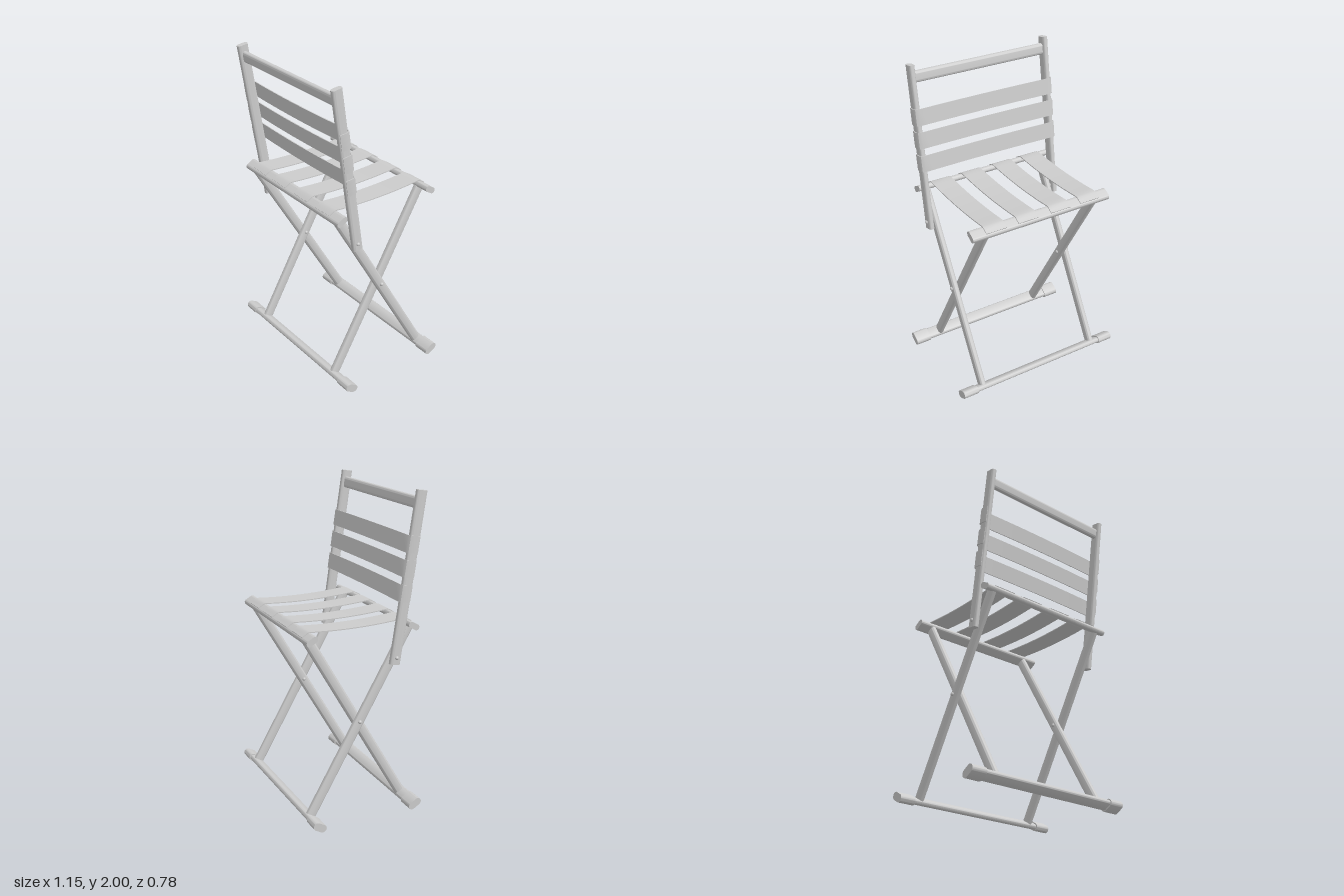
import * as THREE from 'three';
import { toCreasedNormals } from 'three/addons/utils/BufferGeometryUtils.js';

const material = new THREE.MeshStandardMaterial({ color: 0xcccccc });
const V = (x, y, z) => new THREE.Vector3(x, y, z);

// Extrude a shape, centred on its depth, with its axes u and v turned into space
function extrudeAt(name, shape, depth, centre, u, v) {
  let geo = new THREE.ExtrudeGeometry(shape, { depth, bevelEnabled: false, curveSegments: 10 });
  geo.translate(0, 0, -depth / 2);
  geo = toCreasedNormals(geo, 0.6);
  const w = u.clone().cross(v);
  geo.applyMatrix4(new THREE.Matrix4().makeBasis(u, v, w).setPosition(centre));
  const mesh = new THREE.Mesh(geo, material);
  mesh.name = name;
  return mesh;
}

// Flat-oval bar from a to b; wide is the direction of its broad side
function ovalBar(name, a, b, width, thick, wide) {
  const r = thick / 2, s = width / 2 - r;
  const shape = new THREE.Shape();
  shape.absarc(s, 0, r, -Math.PI / 2, Math.PI / 2, false);
  shape.absarc(-s, 0, r, Math.PI / 2, Math.PI * 1.5, false);
  shape.closePath();
  const dir = b.clone().sub(a);
  const length = dir.length();
  dir.normalize();
  const u = wide.clone().normalize();
  return extrudeAt(name, shape, length, a.clone().add(b).multiplyScalar(0.5), u, dir.clone().cross(u));
}

// Outline of a thin strap that follows a line of points
function strapShape(points, thick) {
  const left = [], right = [];
  points.forEach((p, i) => {
    const before = points[Math.max(i - 1, 0)], after = points[Math.min(i + 1, points.length - 1)];
    const t = after.clone().sub(before).normalize().multiplyScalar(thick / 2);
    left.push(new THREE.Vector2(p.x - t.y, p.y + t.x));
    right.unshift(new THREE.Vector2(p.x + t.y, p.y - t.x));
  });
  return new THREE.Shape([...left, ...right]);
}

// Rivet lying along x, with domed ends
function rivet(name, x0, x1, y, z) {
  const r = 0.012;
  const mesh = new THREE.Mesh(new THREE.CapsuleGeometry(r, x1 - x0 - 2 * r, 6, 16), material);
  mesh.rotation.z = Math.PI / 2;
  mesh.position.set((x0 + x1) / 2, y, z);
  mesh.name = name;
  return mesh;
}

export function createModel() {
  const chair = new THREE.Group();
  chair.name = 'foldingChair';

  // Two crossing frames: legs, top rail, foot bar and end caps
  const frames = [
    { name: 'innerFrame', foot: [0.035, 0.313], top: [1.185, -0.352], x: 0.385 },
    { name: 'outerFrame', foot: [0.035, -0.35], top: [1.185, 0.322], x: 0.424 },
  ];
  for (const { name, foot, top, x } of frames) {
    const frame = new THREE.Group();
    frame.name = name;
    const at = (px, [y, z]) => V(px, y, z);
    const wide = V(0, -(top[1] - foot[1]), top[0] - foot[0]).normalize();
    for (const side of [-1, 1]) {
      frame.add(ovalBar('leg', at(side * x, foot), at(side * x, top), 0.066, 0.04, wide));
      frame.add(ovalBar('footCap', at(side * 0.475, foot), at(side * 0.575, foot), 0.092, 0.05, wide));
    }
    frame.add(ovalBar('footBar', at(-0.48, foot), at(0.48, foot), 0.078, 0.036, wide));
    frame.add(ovalBar('topRail', at(-0.485, top), at(0.485, top), 0.078, 0.038, wide));
    chair.add(frame);
  }

  // Tilted backrest posts, crossbar and rivets
  const postBottom = V(0, 0.957, 0.2), postTop = V(0, 1.995, 0.355);
  const slope = postTop.clone().sub(postBottom).normalize();
  const across = V(0, -slope.z, slope.y);
  const onPost = (y, x = 0) => {
    const p = postBottom.clone().lerp(postTop, (y - postBottom.y) / (postTop.y - postBottom.y));
    p.x = x;
    return p;
  };
  for (const side of [-1, 1]) {
    const x = V(side * 0.467, 0, 0);
    chair.add(ovalBar('backPost', postBottom.clone().add(x), postTop.clone().add(x), 0.072, 0.036, across));
    const span = (a, b) => (side > 0 ? [a, b] : [-b, -a]);
    chair.add(rivet('legRivet', ...span(0.355, 0.456), 0.61, -0.018));
    chair.add(rivet('postRivet', ...span(0.41, 0.496), 1.0, 0.207));
  }
  chair.add(ovalBar('backCrossbar', onPost(1.92, -0.455), onPost(1.92, 0.455), 0.072, 0.036, slope));

  // Back straps: bowed across the middle and wrapped round the outside of the posts
  const backLine = [[-0.485, 0.028], [-0.489, 0.012], [-0.49, -0.02], [-0.484, -0.034], [-0.467, -0.043]]
    .map(([x, w]) => new THREE.Vector2(x, w));
  const mirrored = backLine.map((p) => new THREE.Vector2(-p.x, p.y)).reverse();
  for (let i = 1; i < 16; i++) {
    const x = -0.467 + (0.934 * i) / 16;
    backLine.push(new THREE.Vector2(x, -0.032 - 0.011 * (x / 0.467) ** 2));
  }
  backLine.push(...mirrored);
  for (const y of [1.393, 1.54, 1.683]) {
    chair.add(extrudeAt('backStrap', strapShape(backLine, 0.006), 0.103, onPost(y), V(1, 0, 0), across));
  }

  // Seat straps: slight sag between the rails, ends lying on the rails
  const seatLine = [new THREE.Vector2(-0.382, 1.192), new THREE.Vector2(-0.364, 1.202), new THREE.Vector2(-0.346, 1.214)];
  for (let i = 0; i <= 14; i++) {
    const t = i / 7 - 1;
    seatLine.push(new THREE.Vector2(-0.016 + 0.316 * t, 1.203 + 0.014 * t * t));
  }
  seatLine.push(new THREE.Vector2(0.314, 1.213), new THREE.Vector2(0.334, 1.202), new THREE.Vector2(0.348, 1.193));
  for (const x of [-0.34, -0.125, 0.105, 0.325]) {
    chair.add(extrudeAt('seatStrap', strapShape(seatLine, 0.006), 0.139, V(x, 0, 0), V(0, 0, 1), V(0, 1, 0)));
  }
  return chair;
}
